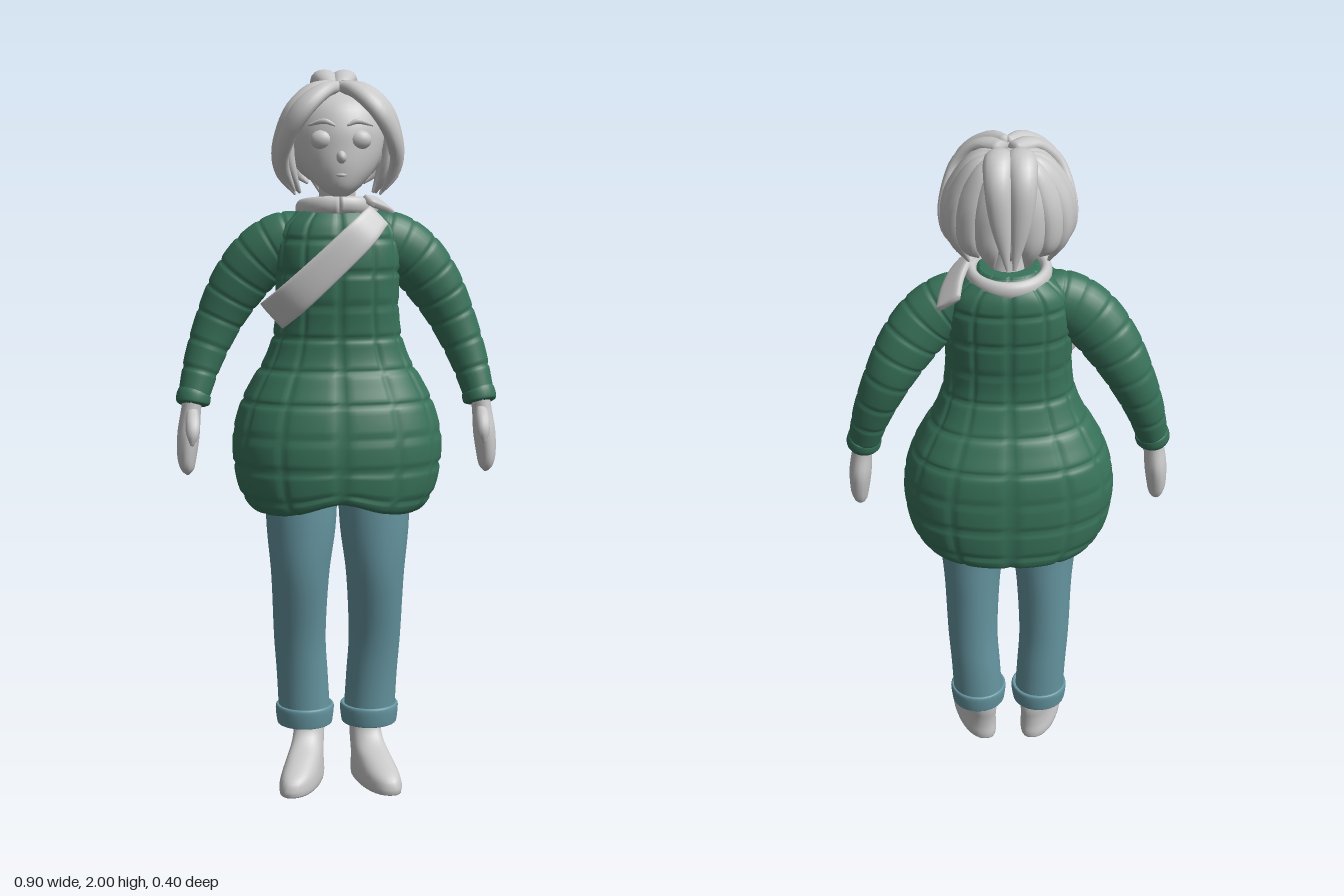
import * as THREE from 'three';

const flat = (name, color) => {
  const m = new THREE.MeshStandardMaterial({ color });
  m.name = name;
  return m;
};

// Sweeps an oval along points [x, y, z, a, b]; a runs along tangent x ref, b at right angles to it.
// level keeps rings horizontal, power squares the oval, puff(t, angle, y) insets it, warp moves points.
function sweep(points, { ref = [0, 0, 1], nu = 16, nv = 24, level = false, power = 2, puff, warp } = {}) {
  const spline = (f) => new THREE.CatmullRomCurve3(points.map(f), false, 'catmullrom', 0.5);
  const path = spline((p) => new THREE.Vector3(p[0], p[1], p[2]));
  const size = spline((p) => new THREE.Vector3(p[3], p[4], 0));
  const R = new THREE.Vector3(...ref), pos = [], idx = [];
  const bend = (c) => Math.sign(c) * Math.abs(c) ** (2 / power);
  for (let j = -1; j <= nv + 1; j++) {
    const t = Math.min(1, Math.max(0, j / nv));
    const cap = j < 0 || j > nv;
    const c = path.getPoint(t), s = size.getPoint(t);
    const T = level ? new THREE.Vector3(0, 1, 0) : path.getTangent(t);
    const A = new THREE.Vector3().crossVectors(T, R).normalize();
    const B = new THREE.Vector3().crossVectors(T, A);
    for (let i = 0; i < nu; i++) {
      const th = (i / nu) * Math.PI * 2;
      const inset = puff ? puff(t, th, c.y) : 0;
      const a = cap ? 0 : Math.max(0.001, s.x - inset), b = cap ? 0 : Math.max(0.001, s.y - inset);
      const p = c.clone().addScaledVector(A, a * bend(Math.cos(th))).addScaledVector(B, b * bend(Math.sin(th)));
      if (warp) warp(p);
      pos.push(p.x, p.y, p.z);
    }
  }
  for (let j = 0; j < nv + 2; j++) {
    for (let i = 0; i < nu; i++) {
      const k = (i + 1) % nu, p = j * nu, q = p + nu;
      idx.push(p + i, p + k, q + k, p + i, q + k, q + i);
    }
  }
  const g = new THREE.BufferGeometry();
  g.setAttribute('position', new THREE.Float32BufferAttribute(pos, 3));
  g.setIndex(idx);
  g.computeVertexNormals();
  return g;
}

export function createModel() {
  const model = new THREE.Group();
  const green = flat('coatGreen', 0x38725a);
  const blue = flat('trouserBlue', 0x6595a0);
  const grey = flat('paleGrey', 0xc8c8c8);
  const add = (name, geo, mat) => {
    const m = new THREE.Mesh(geo, mat);
    m.name = name;
    model.add(m);
    return m;
  };
  const ball = (name, x, y, z, rx, ry, rz, w = 20) => {
    const m = add(name, new THREE.SphereGeometry(1, w, w / 2), grey);
    m.position.set(x, y, z);
    m.scale.set(rx, ry, rz);
  };
  // Full panel with a narrow stitched groove at whole numbers
  const ridge = (x) => Math.min(1, Math.abs(Math.sin(Math.PI * x)) * 2.6) ** 0.7;

  // Quilted coat: [y, half width, front z, back z], hem turned under
  const coat = [
    [0.86, 0.19, 0.12, -0.12], [0.802, 0.205, 0.15, -0.16], [0.793, 0.24, 0.185, -0.188],
    [0.86, 0.28, 0.196, -0.198], [0.98, 0.294, 0.195, -0.198], [1.08, 0.272, 0.176, -0.187],
    [1.15, 0.238, 0.152, -0.157], [1.22, 0.198, 0.13, -0.125], [1.3, 0.175, 0.125, -0.105],
    [1.4, 0.17, 0.134, -0.112], [1.5, 0.173, 0.135, -0.119], [1.57, 0.158, 0.122, -0.118],
    [1.61, 0.12, 0.1, -0.103], [1.64, 0.075, 0.07, -0.075],
  ].map(([y, w, f, b]) => [0, y, (f + b) / 2, w, (f - b) / 2]);
  add('coatBody', sweep(coat, {
    nu: 160, nv: 130, level: true, power: 2.35,
    puff: (t, th, y) => 0.007 * (1 - Math.min(ridge((y - 0.74) / 0.089), ridge((th * 6) / Math.PI))),
    warp: (p) => { if (p.z > 0 && p.y < 0.92) p.y += 0.035 * Math.exp(-((p.x / 0.1) ** 2)) * (0.92 - p.y) / 0.12; },
  }), green);

  for (const s of [1, -1]) {
    const side = s > 0 ? 'left' : 'right';
    const both = (pts) => pts.map(([x, ...r]) => [s * x, ...r]);

    // Banded sleeve and cuff
    add(side + 'Sleeve', sweep(both([
      [0.09, 1.55, 0, 0.068, 0.063], [0.15, 1.53, 0, 0.083, 0.064], [0.215, 1.485, -0.008, 0.084, 0.063],
      [0.275, 1.41, -0.022, 0.078, 0.061], [0.325, 1.32, -0.03, 0.066, 0.056],
      [0.37, 1.21, -0.018, 0.054, 0.048], [0.4, 1.105, 0.005, 0.043, 0.042],
    ]), { nu: 28, nv: 110, puff: (t) => 0.005 * (1 - ridge(t * 9)) }), green);
    add(side + 'SleeveCuff', sweep(both([
      [0.396, 1.12, 0.002, 0.04, 0.04], [0.398, 1.113, 0.004, 0.047, 0.045],
      [0.402, 1.09, 0.008, 0.047, 0.045], [0.403, 1.083, 0.01, 0.036, 0.034],
    ]), { nu: 24, nv: 12 }), green);

    // Mitten-like hand with thumb
    add(side + 'Hand', sweep(both([
      [0.4, 1.12, 0.01, 0.026, 0.03], [0.408, 1.06, 0.012, 0.028, 0.036], [0.415, 1.0, 0.014, 0.031, 0.05],
      [0.42, 0.94, 0.018, 0.027, 0.046], [0.419, 0.905, 0.02, 0.019, 0.034], [0.418, 0.888, 0.02, 0.004, 0.01],
    ])), grey);
    add(side + 'Thumb', sweep(both([
      [0.403, 1.07, 0.03, 0.014, 0.016], [0.402, 1.04, 0.064, 0.018, 0.02],
      [0.402, 1.01, 0.082, 0.016, 0.017], [0.404, 0.98, 0.088, 0.004, 0.004],
    ]), { nu: 12, nv: 14, ref: [1, 0, 0] }), grey);

    // Trouser leg with turned-up cuff
    add(side + 'TrouserLeg', sweep(both([
      [0.093, 0.17, -0.004, 0.074, 0.068], [0.1, 0.3, 0, 0.073, 0.07], [0.107, 0.42, 0.01, 0.074, 0.075],
      [0.106, 0.6, 0.03, 0.082, 0.094], [0.103, 0.74, 0.035, 0.097, 0.096], [0.102, 0.9, 0.025, 0.104, 0.1],
    ]), { nu: 28, level: true }), blue);
    add(side + 'TrouserCuff', sweep(both([
      [0.093, 0.157, 0, 0.06, 0.055], [0.093, 0.153, 0, 0.076, 0.072], [0.093, 0.16, 0, 0.08, 0.076],
      [0.093, 0.195, 0, 0.084, 0.079], [0.093, 0.209, 0, 0.081, 0.076], [0.093, 0.207, 0, 0.07, 0.064],
    ]), { nu: 28, level: true }), blue);

    // Boot, toe turned slightly outward
    add(side + 'Boot', sweep(both([
      [0.082, 0, 0.084, 0.054, 0.116], [0.082, 0.018, 0.084, 0.056, 0.117], [0.081, 0.045, 0.078, 0.053, 0.108],
      [0.08, 0.075, 0.05, 0.048, 0.08], [0.08, 0.105, 0.018, 0.044, 0.051], [0.08, 0.14, 0.003, 0.043, 0.036],
      [0.08, 0.19, 0, 0.042, 0.035],
    ]), { nu: 28, level: true, power: 2.3, warp: (p) => { p.x += s * 0.28 * p.z; } }), grey);

    // Eye and brow
    ball(side + 'Eye', s * 0.05, 1.805, 0.152, 0.031, 0.026, 0.022);
    add(side + 'Brow', sweep(both([
      [0.016, 1.842, 0.166, 0.003, 0.003], [0.045, 1.853, 0.161, 0.007, 0.006], [0.085, 1.843, 0.143, 0.003, 0.003],
    ]), { nu: 8, nv: 12 }), grey);

    // Fringe locks framing the face
    [
      [[0, 1.945, 0.07, 0.014, 0.016], [0.045, 1.932, 0.125, 0.026, 0.02], [0.1, 1.885, 0.152, 0.033, 0.022],
        [0.14, 1.815, 0.13, 0.028, 0.02], [0.152, 1.745, 0.09, 0.02, 0.015], [0.118, 1.67, 0.065, 0.003, 0.003]],
      [[0.015, 1.95, 0.02, 0.02, 0.016], [0.065, 1.935, 0.075, 0.032, 0.02], [0.122, 1.875, 0.095, 0.036, 0.022],
        [0.155, 1.79, 0.06, 0.032, 0.019], [0.152, 1.725, 0.035, 0.022, 0.015], [0.115, 1.66, 0.03, 0.003, 0.003]],
    ].forEach((lock, i) => add(side + 'FringeLock' + (i + 1), sweep(both(lock), { ref: [s * 0.6, 0.5, 0.7] }), grey));

    // One lobe of the ponytail
    add(side + 'Ponytail', sweep(both([
      [0.006, 1.935, -0.03, 0.014, 0.014], [0.02, 1.963, -0.07, 0.021, 0.028], [0.028, 1.974, -0.12, 0.026, 0.037],
      [0.03, 1.925, -0.164, 0.027, 0.034], [0.024, 1.835, -0.181, 0.019, 0.026], [0.008, 1.715, -0.187, 0.003, 0.004],
    ]), { ref: [1, 0, 0] }), grey);
  }

  // Neck and head, chin to crown
  add('neck', sweep([[0, 1.58, -0.01, 0.058, 0.055], [0, 1.66, 0.005, 0.05, 0.05], [0, 1.75, 0.015, 0.055, 0.055]],
    { level: true }), grey);
  add('head', sweep([
    [0, 1.657, 0.118, 0.018, 0.028], [0, 1.668, 0.106, 0.038, 0.05], [0, 1.69, 0.09, 0.064, 0.078],
    [0, 1.73, 0.071, 0.097, 0.103], [0, 1.78, 0.06, 0.118, 0.113], [0, 1.84, 0.052, 0.124, 0.115],
    [0, 1.9, 0.035, 0.108, 0.105], [0, 1.945, 0.02, 0.05, 0.05],
  ], { nu: 32, nv: 32, level: true }), grey);
  ball('nose', 0, 1.76, 0.172, 0.014, 0.017, 0.02, 14);
  ball('lips', 0, 1.714, 0.16, 0.022, 0.009, 0.015, 14);

  // Hair gathered back: scalp plus locks fanning out from the ponytail
  ball('scalp', 0, 1.815, -0.005, 0.14, 0.137, 0.113, 32);
  for (let i = 0; i < 11; i++) {
    const a = THREE.MathUtils.degToRad(-112 + 22.4 * i), x = Math.sin(a), z = -Math.cos(a);
    const drop = (i % 2) * 0.025;
    add('hairLock' + (i + 1), sweep([
      [0.02 * x, 1.95, -0.035 + 0.02 * z, 0.01, 0.012], [0.085 * x, 1.928, -0.018 + 0.073 * z, 0.026, 0.02],
      [0.138 * x, 1.855, 0.11 * z, 0.037, 0.021], [0.153 * x, 1.785, 0.11 * z, 0.036, 0.021],
      [0.142 * x, 1.725, 0.103 * z, 0.028, 0.018], [0.11 * x, 1.665 + drop, 0.08 * z, 0.004, 0.004],
    ], { nu: 14, ref: [x, 0.3, z] }), grey);
  }

  // Scarf: collar, front sash and loose back end
  const ring = [];
  for (let i = 0; i <= 16; i++) {
    const a = (i / 16) * Math.PI * 2;
    ring.push([0.098 * Math.sin(a), 1.622 + 0.012 * Math.cos(a), 0.094 * Math.cos(a), 0.016, 0.024]);
  }
  add('scarfCollar', sweep(ring, { ref: [0, 1, 0], nv: 64 }), grey);
  add('scarfSash', sweep([
    [0.105, 1.605, 0.085, 0.036, 0.009], [0.055, 1.555, 0.132, 0.042, 0.009], [-0.03, 1.475, 0.146, 0.044, 0.008],
    [-0.12, 1.392, 0.134, 0.046, 0.008], [-0.182, 1.337, 0.088, 0.046, 0.008],
  ], { power: 4, nu: 24 }), grey);
  add('scarfEnd', sweep([
    [0.08, 1.645, 0.085, 0.02, 0.01], [0.122, 1.632, 0.01, 0.032, 0.01], [0.146, 1.612, -0.055, 0.036, 0.01],
    [0.157, 1.593, -0.125, 0.038, 0.009],
  ], { ref: [0.8, 1, 0], power: 4, nu: 24 }), grey);

  return model;
}
